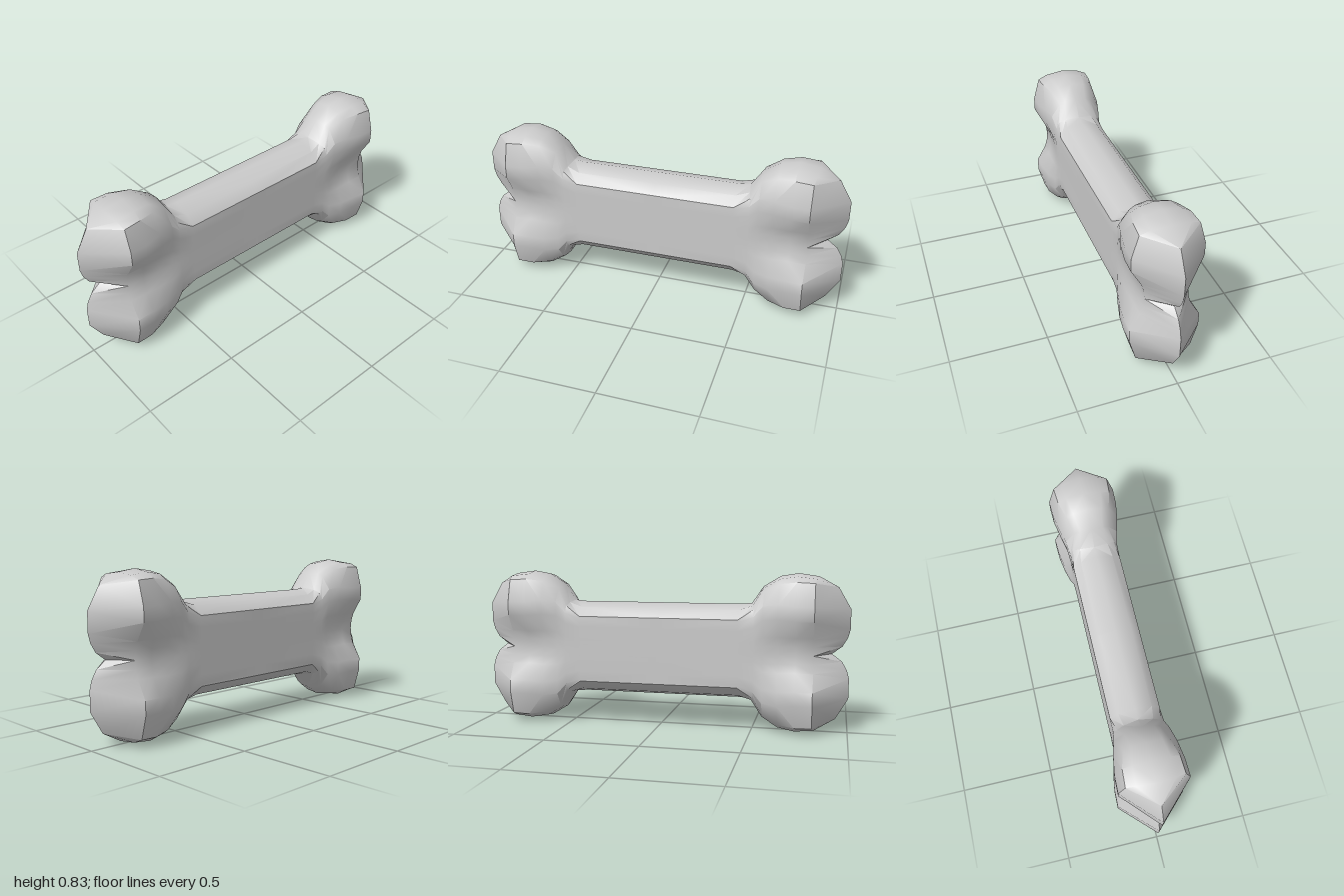
import * as THREE from 'three';
import { toCreasedNormals } from 'three/addons/utils/BufferGeometryUtils.js';

const MID = 0.417; // height of the bone's long axis

// Cross-sections along x, from the middle of the shaft out to the knob.
// waist: depth on the axis; crest: fullest point; edge: rim of the bevel;
// ridge: the outline at z = 0.
const SECTIONS = [
  { x: 0, waist: .13, crest: [.12, .13], edge: [.178, .13], ridge: [0, .252] },
  { x: .43, waist: .13, crest: [.12, .13], edge: [.178, .13], ridge: [.43, .252] },
  { x: .51, waist: .13, crest: [.14, .131], edge: [.232, .113], ridge: [.49, .258] },
  { x: .56, waist: .127, crest: [.18, .142], edge: [.325, .09], ridge: [.55, .347] },
  { x: .64, waist: .12, crest: [.187, .162], edge: [.365, .115], ridge: [.64, .402] },
  { x: .73, waist: .114, crest: [.18, .177], edge: [.376, .14], ridge: [.73, .417] },
  { x: .82, waist: .11, crest: [.18, .18], edge: [.372, .146], ridge: [.835, .402] },
];

// Outline of the sharp end, from the notch up to the knob's corner
const END = [[.91, 0], [.962, .04], [.988, .085], [1, .13], [1, .235], [.935, .347]];

// Points of one section, from the axis over the front face to the ridge
function sectionPoints({ x, waist, crest, edge, ridge }) {
  const points = [];
  for (const t of [0, .25, .5, 1]) {
    points.push([x, crest[0] * t, waist + (crest[1] - waist) * t * t]);
  }
  points.push([x, crest[0] * 1.4, crest[1]]);
  points.push([x, edge[0], edge[1]]);
  points.push([(x + ridge[0]) / 2, edge[0] + (ridge[1] - edge[0]) * .65, edge[1] * .67]);
  points.push([ridge[0], ridge[1], 0]);
  return points;
}

function boneGeometry() {
  const columns = SECTIONS.map(sectionPoints);
  // the end outline closes the last section; its corner takes the upper rows
  columns.push(columns[0].map((_, j) => [...END[Math.min(j, END.length - 1)], 0]));

  const positions = [];
  const tri = new THREE.Triangle();
  const addTriangle = (p, q, r, sx, sy, sz) => {
    const corners = sx * sy * sz > 0 ? [p, q, r] : [p, r, q];
    const v = corners.map(([x, y, z]) => new THREE.Vector3(x * sx, MID + y * sy, z * sz));
    if (tri.set(...v).getArea() < 1e-7) return;
    v.forEach((c) => positions.push(c.x, c.y, c.z));
  };
  // mirror the eighth to all sides
  for (const sx of [1, -1]) for (const sy of [1, -1]) for (const sz of [1, -1]) {
    for (let i = 0; i < columns.length - 1; i++) {
      for (let j = 0; j < columns[i].length - 1; j++) {
        const a = columns[i][j], b = columns[i + 1][j];
        const c = columns[i + 1][j + 1], d = columns[i][j + 1];
        addTriangle(a, b, c, sx, sy, sz);
        addTriangle(a, c, d, sx, sy, sz);
      }
    }
  }
  const geometry = new THREE.BufferGeometry();
  geometry.setAttribute('position', new THREE.Float32BufferAttribute(positions, 3));
  return toCreasedNormals(geometry, 0.68);
}

export function createModel() {
  const group = new THREE.Group();
  group.name = 'bone';
  const mesh = new THREE.Mesh(boneGeometry(), new THREE.MeshStandardMaterial({ color: 0xcccccc }));
  mesh.name = 'boneBody';
  group.add(mesh);
  return group;
}
